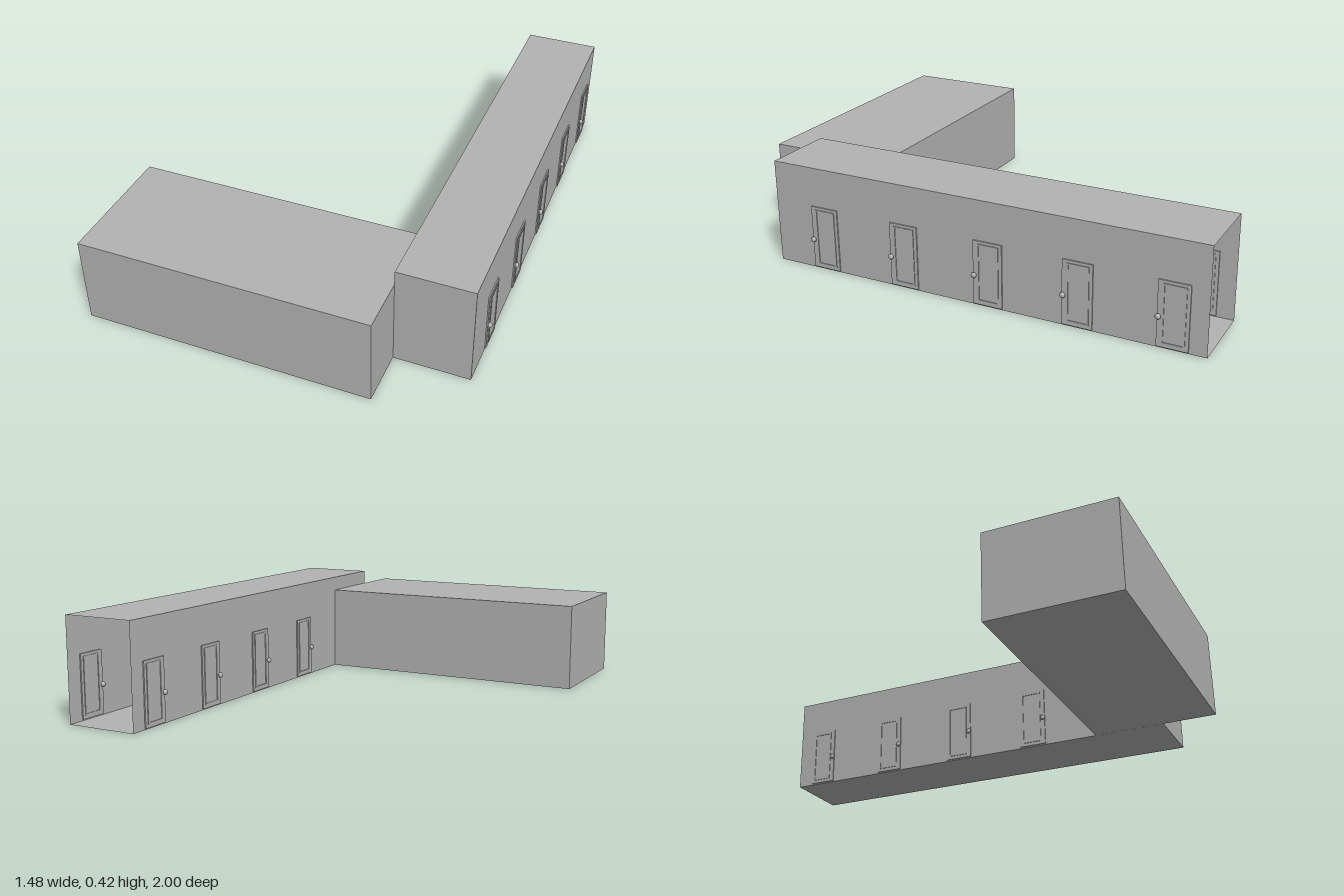
import * as THREE from 'three';

const gray = new THREE.MeshStandardMaterial({ color: 0xb2b2b2, side: THREE.DoubleSide });
gray.name = 'plain gray';

function add(parent, geometry, name, x, y, z) {
  const mesh = new THREE.Mesh(geometry, gray);
  mesh.name = name;
  mesh.position.set(x, y, z);
  parent.add(mesh);
  return mesh;
}

// Thin-walled box between two corners; openBack leaves out the -z wall
function shell(parent, name, [x0, x1], height, [z0, z1], openBack) {
  const geometry = new THREE.BoxGeometry(x1 - x0, height, z1 - z0);
  if (openBack) geometry.setIndex([...geometry.index.array].slice(0, 30));
  geometry.clearGroups();
  add(parent, geometry, name, (x0 + x1) / 2, height / 2, (z0 + z1) / 2);
}

// Rectangular moulding around the door panel, drawn in the xy plane
function mouldingGeometry(w, h, rim, depth) {
  const rect = (path, a, b) => path.moveTo(-a, -b).lineTo(a, -b).lineTo(a, b).lineTo(-a, b).closePath();
  const shape = new THREE.Shape();
  rect(shape, w / 2, h / 2);
  const hole = new THREE.Path();
  rect(hole, w / 2 - rim, h / 2 - rim);
  shape.holes.push(hole);
  return new THREE.ExtrudeGeometry(shape, { depth, bevelEnabled: false });
}

const slab = new THREE.BoxGeometry(0.01, 0.255, 0.118);
const moulding = mouldingGeometry(0.086, 0.23, 0.006, 0.003);
const neck = new THREE.CylinderGeometry(0.005, 0.005, 0.012, 10).rotateZ(Math.PI / 2);
const knob = new THREE.SphereGeometry(0.011, 12, 8).scale(0.75, 1, 1);

// Door passing through the wall, with moulding and knob on both faces
function door(x, z) {
  const group = new THREE.Group();
  group.name = 'door';
  group.position.set(x, 0, z);
  add(group, slab, 'doorSlab', 0, 0.1325, 0.003);
  for (const s of [-1, 1]) {
    add(group, moulding, 'doorMoulding', s * 0.005, 0.134, 0).rotation.y = s * Math.PI / 2;
    add(group, neck, 'knobNeck', s * 0.008, 0.123, 0.056);
    add(group, knob, 'doorKnob', s * 0.012, 0.123, 0.056);
  }
  return group;
}

export function createModel() {
  const model = new THREE.Group();
  model.name = 'corridorAndRoom';

  shell(model, 'corridor', [0.417, 0.717], 0.418, [-1, 0.78], true);
  shell(model, 'room', [-0.738, 0.4165], 0.358, [0.486, 1], false);

  // Five doors on the left wall, four on the right wall
  for (let i = 0; i < 5; i++) {
    const z = 0.553 - i * 0.3575;
    model.add(door(0.717, z));
    if (i > 0) model.add(door(0.417, z));
  }
  return model;
}
